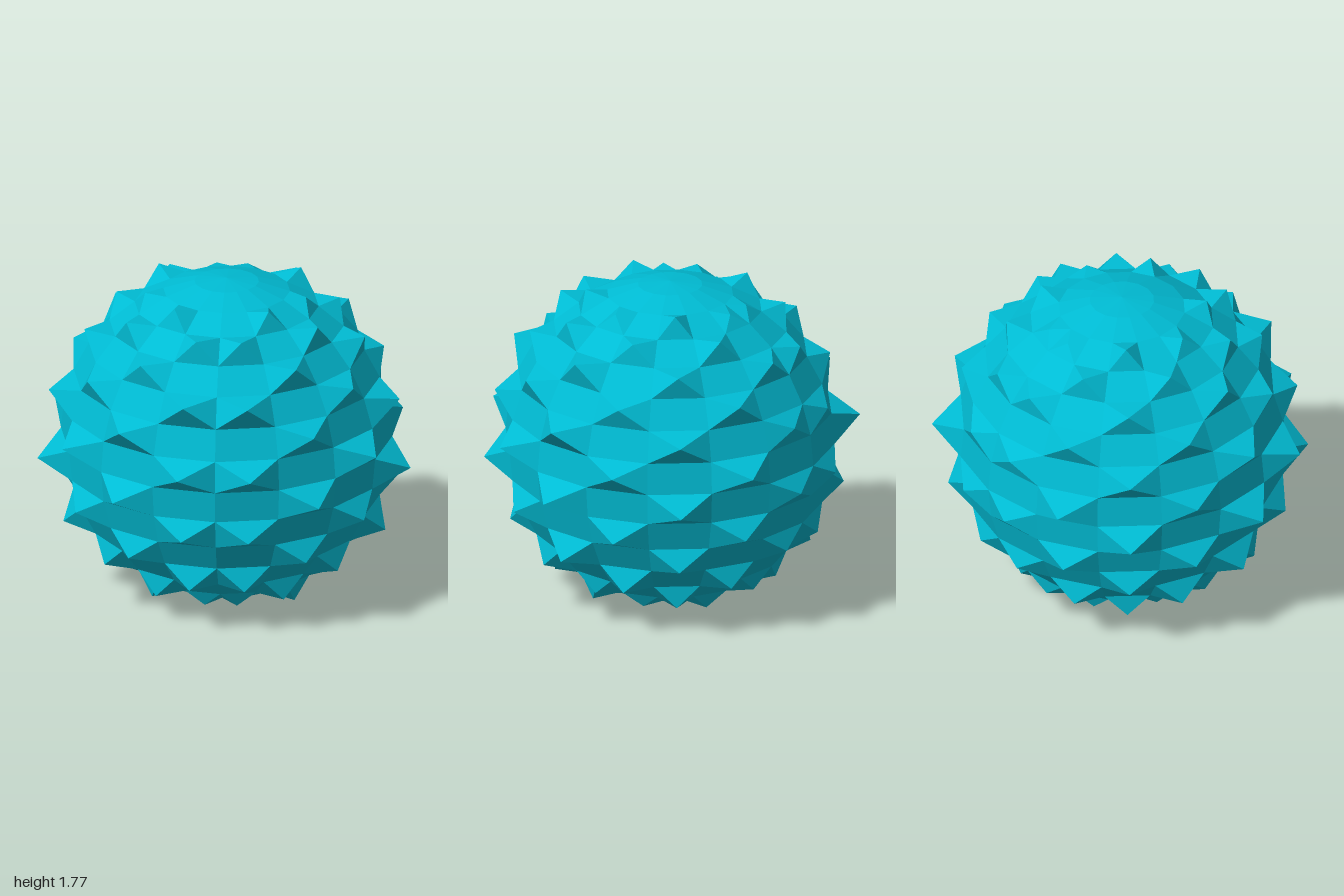
import * as THREE from 'three';

const SEG = 16;          // columns around and bands from pole to pole
const RADIUS = 0.886;
const TYPICAL_TIP = 0.97;

// Tip distance from the centre for spikes, keyed by band (from the top) then column (from the front)
const TIPS = {
  2: { 1: 0.96, 3: 0.93, 7: 0.91 },
  3: { 0: 0.975, 4: 0.96 },
  4: { 3: 0.99, 7: 0.95 },
  5: { 0: 1.0, 4: 0.96 },
  6: { 1: 0.98, 3: 1.0, 5: 0.99, 7: 0.93 },
  7: { 0: 1.005, 2: 1.015, 4: 0.953, 6: 1.02 },
  8: { 1: 1.0, 3: 1.023, 5: 1.0, 7: 0.94 },
  9: { 0: 0.966, 4: 0.973 },
  10: { 3: 0.996, 7: 0.945 },
  11: { 0: 0.98, 4: 0.983 },
  12: { 3: 0.942, 7: 0.94 },
  13: { 0: 0.935, 4: 0.926, 6: 0.94 },
};

// Point at a fractional band and column; column angle runs from +z toward +x
function spherePoint(band, column, radius) {
  const polar = (band / SEG) * Math.PI;
  const angle = (column / SEG) * Math.PI * 2;
  return new THREE.Vector3(
    radius * Math.sin(polar) * Math.sin(angle),
    radius * Math.cos(polar),
    radius * Math.sin(polar) * Math.cos(angle),
  );
}

function facetGeometry(triangles) {
  const geometry = new THREE.BufferGeometry().setFromPoints(triangles);
  geometry.computeVertexNormals();
  return geometry;
}

export function createModel() {
  const group = new THREE.Group();
  group.name = 'spikyBall';
  const teal = new THREE.MeshStandardMaterial({ color: 0x00bcd4, flatShading: true });
  teal.name = 'teal';

  const shell = [];
  const spikes = [];
  for (let band = 0; band < SEG; band++) {
    for (let column = 0; column < SEG; column++) {
      // Corners of the panel, counter-clockwise from outside
      const a = spherePoint(band, column, RADIUS);
      const b = spherePoint(band + 1, column, RADIUS);
      const c = spherePoint(band + 1, column + 1, RADIUS);
      const d = spherePoint(band, column + 1, RADIUS);

      // Checkerboard of spikes, mirrored left to right, with plain caps
      const mirrored = column < SEG / 2 ? column : SEG - 1 - column;
      const spiked = band >= 2 && band <= 13 && (band + mirrored) % 2 === 1;
      if (spiked) {
        const tip = spherePoint(band + 0.5, column + 0.5, TIPS[band]?.[mirrored] ?? TYPICAL_TIP);
        spikes.push(a, b, tip, b, c, tip, c, d, tip, d, a, tip);
      } else {
        if (band < SEG - 1) shell.push(a, b, c);
        if (band > 0) shell.push(a, c, d);
        if (band === SEG - 1) continue;
      }
    }
  }

  const shellMesh = new THREE.Mesh(facetGeometry(shell), teal);
  shellMesh.name = 'shellPanels';
  const spikeMesh = new THREE.Mesh(facetGeometry(spikes), teal);
  spikeMesh.name = 'pyramidSpikes';
  group.add(shellMesh, spikeMesh);
  group.position.set(0, 0.888, -0.03);
  return group;
}
